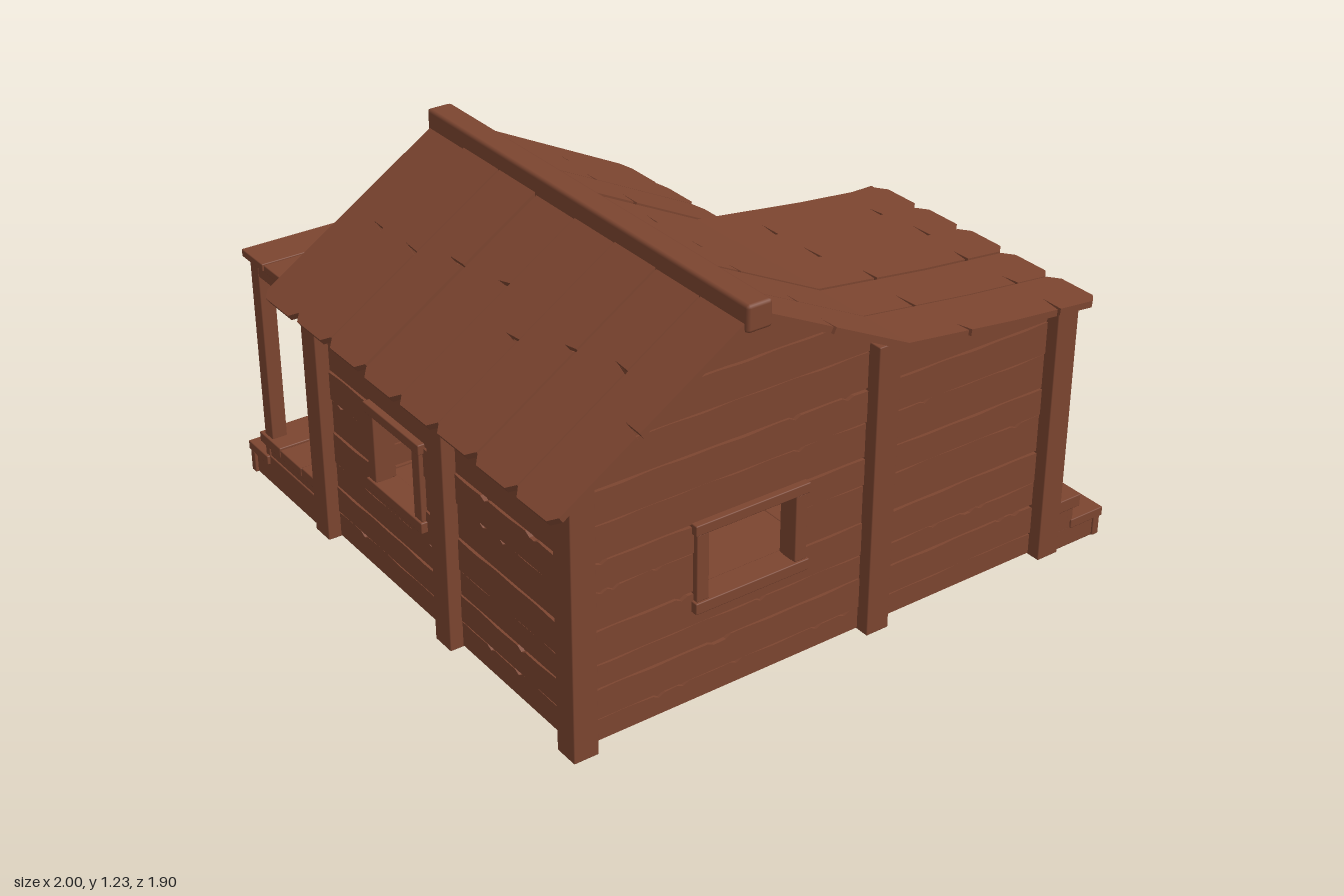
import * as THREE from 'three';
import { RoundedBoxGeometry } from 'three/addons/geometries/RoundedBoxGeometry.js';

const wood = new THREE.MeshStandardMaterial({ color: 0x7c4530 });
wood.name = 'brown wood';

// Seeded random numbers for uneven boards
let seed = 11;
const rnd = () => (seed = (seed * 16807) % 2147483647) / 2147483647;
const jit = (a) => (rnd() * 2 - 1) * a;

function add(parent, name, geometry) {
  const mesh = new THREE.Mesh(geometry, wood);
  mesh.name = name;
  parent.add(mesh);
  return mesh;
}

function group(parent, name) {
  const g = new THREE.Group();
  g.name = name;
  parent.add(g);
  return g;
}

// Box given by its lower and upper limits, with lightly eased edges
function box(parent, name, x0, x1, y0, y1, z0, z1, ease = 0.003) {
  const mesh = add(parent, name, new RoundedBoxGeometry(x1 - x0, y1 - y0, z1 - z0, 1, ease));
  mesh.position.set((x0 + x1) / 2, (y0 + y1) / 2, (z0 + z1) / 2);
  return mesh;
}

// Main roof line across the house, dropping into the shallow wing roof
function roofY(x) {
  if (x < -0.38) return 1.2 + (x + 0.38) * 0.645;
  if (x < 0.13) return 1.2 - (x + 0.38) * 0.5;
  return 0.945 - (x - 0.13) * 0.12;
}

// One wall board with a wavy, nicked upper edge, cut off by the roof
function board(parent, name, a, b, y0, y1, top, thick) {
  const n = Math.max(2, Math.round((b - a) / 0.02));
  const phase = rnd() * 6;
  const pts = [];
  for (let i = 0; i <= n; i++) {
    const u = a + ((b - a) * i) / n;
    let y = y1 - 0.005 + 0.003 * Math.sin(u * 9 + phase) * Math.sin(u * 23);
    if (rnd() < 0.04) y -= 0.01;
    pts.push([u, Math.max(y0, Math.min(y, top(u)))]);
  }
  const high = (i) => pts[i] && pts[i][1] > y0 + 0.001;
  const keep = pts.filter((p, i) => high(i) || high(i - 1) || high(i + 1));
  if (keep.length < 2) return;
  const shape = new THREE.Shape();
  shape.moveTo(keep[0][0], y0);
  shape.lineTo(keep[keep.length - 1][0], y0);
  keep.reverse().forEach(([u, y]) => { if (y > y0 + 0.0005) shape.lineTo(u, y); });
  const g = new THREE.ExtrudeGeometry(shape, { depth: thick, bevelEnabled: false });
  g.translate(0, 0, -thick / 2);
  add(parent, name, g);
}

// One course of a wall, broken around the opening where they meet
function course(parent, name, a, b, y0, y1, top, thick, hole) {
  if (!hole || y1 <= hole.y0 || y0 >= hole.y1) {
    board(parent, name, a, b, y0, y1, top, thick);
    return;
  }
  board(parent, name, a, hole.a, y0, y1, top, thick);
  board(parent, name, hole.b, b, y0, y1, top, thick);
  if (hole.y0 - y0 > 0.004) board(parent, name, hole.a, hole.b, y0, hole.y0, top, thick);
  if (y1 - hole.y1 > 0.004) board(parent, name, hole.a, hole.b, hole.y1, y1, top, thick);
}

// Frame around an opening, with a sill for windows
function frame(parent, { a, b, y0, y1, door }) {
  box(parent, 'leftJamb', a - 0.04, a, y0, y1, -0.034, 0.034);
  box(parent, 'rightJamb', b, b + 0.04, y0, y1, -0.034, 0.034);
  box(parent, 'header', a - 0.046, b + 0.046, y1, y1 + 0.032, -0.038, 0.038);
  if (!door) box(parent, 'sill', a - 0.046, b + 0.046, y0 - 0.035, y0, -0.04, 0.04);
}

const rows = [0.005, 0.085, 0.175, 0.255, 0.365, 0.475, 0.57, 0.68, 0.785, 0.9, 1.01, 1.2];

// Wall of stacked boards over a thin backing, running from a to b
function wall(parent, name, a, b, top, hole) {
  const g = group(parent, name);
  const ys = rows.map((y, i) => (i ? y + jit(0.008) : y));
  for (let i = 0; i < ys.length - 1; i++)
    course(g, 'wallBoard', a, b, ys[i], ys[i + 1], top, 0.03 + (i % 2) * 0.006 + rnd() * 0.004, hole);
  course(g, 'backing', a, b, 0.01, 1.2, top, 0.014, hole);
  if (hole) frame(group(g, hole.door ? 'doorFrame' : 'windowFrame'), hole);
  return g;
}

// Turns a wall built along x so that it runs along z at the given x
function alongZ(g, x) {
  g.applyMatrix4(new THREE.Matrix4().makeBasis(
    new THREE.Vector3(0, 0, 1), new THREE.Vector3(0, 1, 0), new THREE.Vector3(-1, 0, 0)).setPosition(x, 0, 0));
}

// Roof plank from (x0,y0) to (x1,y1), clipped corners c0 and c1, one split in an edge
function roofPlank(parent, x0, y0, x1, y1, z0, z1, c0, c1) {
  const L = Math.hypot(x1 - x0, y1 - y0), w = z1 - z0;
  const s = L * (0.4 + rnd() * 0.2), d = 0.04 + rnd() * 0.04;
  const p = [[c0, 0], [L - c1, 0], [L, c1], [L, w - c1], [L - c1, w],
    [s + 0.006, w], [s + jit(0.01), w - d], [s - 0.006, w], [c0, w], [0, w - c0], [0, c0]];
  const shape = new THREE.Shape(p.map(([u, v]) => new THREE.Vector2(u, v)));
  const geo = new THREE.ExtrudeGeometry(shape, { depth: 0.02, bevelEnabled: false });
  const c = (x1 - x0) / L, k = (y1 - y0) / L;
  geo.applyMatrix4(new THREE.Matrix4().makeBasis(
    new THREE.Vector3(c, k, 0), new THREE.Vector3(0, 0, 1), new THREE.Vector3(k, -c, 0)).setPosition(x0, y0, z0));
  add(parent, 'roofPlank', geo);
}

export function createModel() {
  seed = 11;
  const model = new THREE.Group();
  model.name = 'woodenCabin';

  // Walls, set back between the posts
  const under = (x) => roofY(x) - 0.016;
  const flat = (y) => () => y;
  wall(model, 'frontWall', -0.87, 0.77, under, { a: -0.46, b: -0.17, y0: 0.33, y1: 0.54 }).position.z = 0.82;
  wall(model, 'backWall', -0.87, 0.11, under, { a: -0.46, b: -0.25, y0: 0.17, y1: 0.55, door: true }).position.z = -0.46;
  wall(model, 'wingBackWall', 0.1, 0.77, under, { a: 0.24, b: 0.45, y0: 0.33, y1: 0.55 }).position.z = 0.03;
  alongZ(wall(model, 'rightWall', -0.47, 0.83, flat(0.87), { a: -0.165, b: 0.05, y0: 0.33, y1: 0.55 }), -0.855);
  alongZ(wall(model, 'leftWall', -0.47, 0.02, flat(0.94), { a: -0.33, b: -0.17, y0: 0.345, y1: 0.55 }), 0.098);
  alongZ(wall(model, 'wingEndWall', 0.02, 0.83, flat(0.852), { a: 0.3, b: 0.53, y0: 0.17, y1: 0.55, door: true }), 0.76);

  // Corner and middle posts
  const posts = group(model, 'posts');
  [[-0.875, 0.84, 0.85], [0.118, 0.84, 0.925], [0.777, 0.84, 0.86], [-0.875, 0.22, 0.85], [-0.875, -0.48, 0.85],
    [0.118, -0.48, 0.92], [0.118, 0.01, 0.92], [0.777, 0.01, 0.86]].forEach(([x, z, h]) =>
    box(posts, 'post', x - 0.039, x + 0.039, 0, h, z - 0.04, z + 0.04));

  // Floors
  box(model, 'mainFloor', -0.85, 0.09, 0.135, 0.165, -0.46, 0.82);
  box(model, 'wingFloor', 0.09, 0.755, 0.135, 0.165, 0.03, 0.82);

  // Roof planks: eight each side, the front five carried on over the wing
  const roof = group(model, 'roof');
  for (let i = 0; i < 8; i++) {
    const z0 = -0.578 + i * 0.1898, z1 = z0 + 0.184, d = jit(0.004);
    roofPlank(roof, -1, 0.8 + d, -0.38, 1.2 + d, z0, z1, 0.025, 0);
    if (i < 3) {
      roofPlank(roof, -0.38, 1.2 + d, 0.28, 0.87 + d, z0, z1, 0, 0.03);
    } else {
      roofPlank(roof, -0.38, 1.2 + d, 0.135, 0.945 + d, z0, z1, 0, 0);
      roofPlank(roof, 0.13, 0.947 + d, 0.51, 0.897 + d, z0, z1, 0, 0);
      roofPlank(roof, 0.508, 0.897 + d, 0.84, 0.863 + d, z0, z1, 0, 0.03);
    }
  }
  box(roof, 'ridgeBeam', -0.42, -0.34, 1.15, 1.23, -0.59, 0.948, 0.01);

  // Side steps in front of the wing door
  const steps = group(model, 'sideSteps');
  box(steps, 'upperTread', 0.76, 0.895, 0.135, 0.175, -0.03, 0.88);
  box(steps, 'upperRiser', 0.855, 0.88, 0.06, 0.14, -0.02, 0.87);
  box(steps, 'lowerTread', 0.87, 1, 0.06, 0.09, -0.03, 0.875);
  box(steps, 'lowerRiser', 0.965, 0.99, 0, 0.065, -0.03, 0.875);
  for (const z of [-0.025, 0.845]) {
    box(steps, 'lowerEnd', 0.8, 0.97, 0, 0.065, z, z + 0.025);
    box(steps, 'upperEnd', 0.8, 0.86, 0.06, 0.14, z, z + 0.025);
  }

  // Back porch: deck, step, posts, beams and roof
  const porch = group(model, 'backPorch');
  for (let i = 0; i < 3; i++) {
    const z = -0.868 + i * 0.134;
    box(porch, 'deckBoard', -0.91, 0.16, 0.14, 0.172 + jit(0.003), z, z + 0.131);
    box(porch, 'porchRoofBoard', -0.912 + jit(0.004), 0.158, 0.775, 0.795 + jit(0.005), z - 0.01, z + 0.12);
  }
  box(porch, 'deckRiser', -0.9, 0.15, 0.08, 0.142, -0.855, -0.83);
  box(porch, 'stepTread', -0.91, 0.16, 0.07, 0.1, -0.955, -0.83);
  box(porch, 'stepRiser', -0.91, 0.16, 0, 0.072, -0.945, -0.92);
  box(porch, 'porchFrontBeam', -0.9, 0.145, 0.735, 0.78, -0.85, -0.8);
  for (const x of [-0.875, 0.118]) {
    box(porch, 'porchPost', x - 0.025, x + 0.025, 0.17, 0.74, -0.85, -0.8);
    box(porch, 'porchSideBeam', x - 0.025, x + 0.025, 0.735, 0.78, -0.8, -0.5);
    box(porch, 'deckSide', x - 0.02, x + 0.02, 0.095, 0.142, -0.835, -0.5);
    box(porch, 'stepSide', x - 0.025, x + 0.025, 0, 0.1, -0.925, -0.5);
  }
  return model;
}
